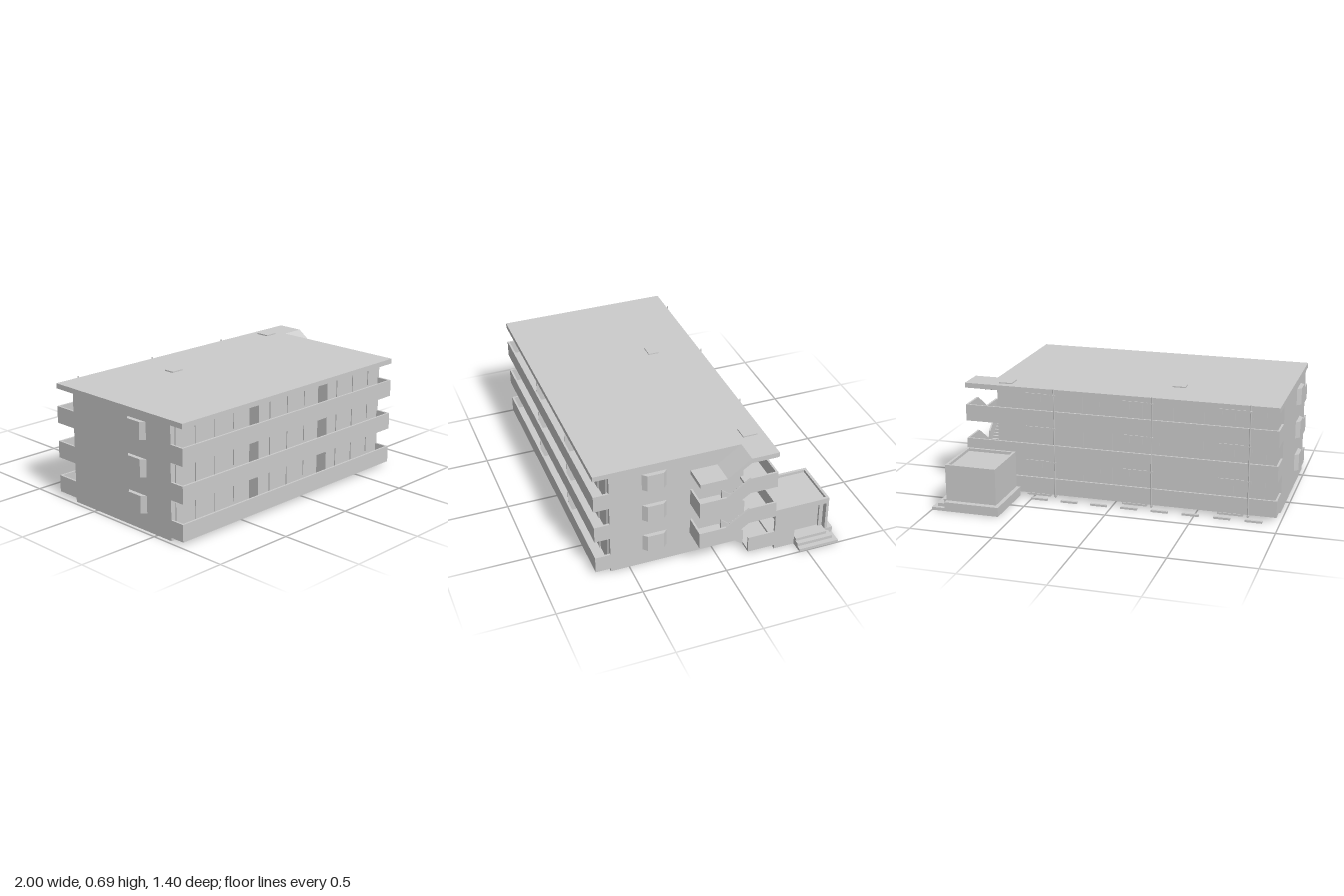
import * as THREE from 'three';

const mat = new THREE.MeshStandardMaterial({ color: 0xcccccc });
const W0 = -0.975, W1 = 0.775, X2 = 0.92;   // main block ends, stair tower side
const F = 0.61, B = -0.185;                 // front and back walls
const FLOORS = [0.025, 0.235, 0.445];
const T = 0.012;                            // parapet thickness

export function createModel() {
  const model = new THREE.Group();

  const add = (name, geo, parent = model) => {
    const m = new THREE.Mesh(geo, mat);
    m.name = name;
    parent.add(m);
    return m;
  };
  // box given by its limits
  const box = (name, x0, x1, y0, y1, z0, z1, parent) =>
    add(name, new THREE.BoxGeometry(x1 - x0, y1 - y0, z1 - z0)
      .translate((x0 + x1) / 2, (y0 + y1) / 2, (z0 + z1) / 2), parent);
  // side profile of [z, y] points extruded from x0 to x1
  const profile = (name, pts, x0, x1, parent) => {
    const shape = new THREE.Shape(pts.map(p => new THREE.Vector2(p[0], p[1])));
    const geo = new THREE.ExtrudeGeometry(shape, { depth: x1 - x0, bevelEnabled: false });
    return add(name, geo.rotateY(-Math.PI / 2).translate(x1, 0, 0), parent);
  };
  const group = name => {
    const g = new THREE.Group();
    g.name = name;
    model.add(g);
    return g;
  };

  // main block and flat roof
  box('mainBlock', W0, W1, 0, 0.65, B, F);
  box('roof', W0, W1, 0.65, 0.68, -0.33, 0.70);
  box('stairRoof', W1, X2, 0.65, 0.68, -0.33, -0.165);
  box('roofHatch', -0.37, -0.29, 0.68, 0.687, -0.08, -0.015);
  box('roofHatch', 0.64, 0.72, 0.68, 0.687, -0.285, -0.2);

  FLOORS.forEach((s, i) => {
    // front balconies
    const bal = group('frontBalcony');
    const b = i ? s : 0.02, t = b + 0.1;
    box('balconyFloor', W0, W1, b, b + 0.015, F, 0.70, bal);
    box('balconyParapet', W0, W1, b, t, 0.70 - T, 0.70, bal);
    for (const x of [W0, W1 - T]) box('balconyEnd', x, x + T, b, t, F, 0.70, bal);
    for (const x of [-0.375, 0.205]) box('balconyDivider', x - 0.003, x + 0.003, b, b + 0.2, F, 0.68, bal);

    // shallow window and door panels on the front wall
    for (let k = 0; k < 12; k++) {
      const x = W0 + 0.073 + k * 0.1458;
      const door = k % 4 === 1 || k % 4 === 2;
      box(door ? 'balconyDoor' : 'frontWindow', x - 0.042, x + 0.042,
        door ? b + 0.015 : b + 0.075, b + 0.19, F, F + 0.006, bal);
    }

    // rear access gallery
    const gal = group('rearGallery');
    const top = s + 0.1;
    box('galleryFloor', W0, X2, s, s + 0.015, -0.33, B, gal);
    box('stairLobbyFloor', W1, X2, s, s + 0.015, B, -0.165, gal);
    box('galleryParapet', W0, i ? X2 : 0.62, s, top, -0.33, -0.33 + T, gal);
    box('galleryEnd', W0, W0 + T, s, top, -0.33, B, gal);
    for (let k = 0; k < 8; k++) {
      const x = -0.85 + k * 0.185;
      box('galleryDoor', x - 0.03, x + 0.03, s + 0.015, s + 0.18, B - 0.006, B, gal);
      box('galleryWindow', x + 0.05, x + 0.12, s + 0.11, s + 0.18, B - 0.004, B, gal);
    }

    // angled bay windows on both end walls
    for (const side of [1, -1]) {
      const w = side > 0 ? W1 : W0, o = w + side * 0.025;
      const pts = [[w, 0.275], [o, 0.30], [o, 0.395], [w, 0.42]];
      const shape = new THREE.Shape(pts.map(([x, z]) => new THREE.Vector2(x, -z)));
      const geo = new THREE.ExtrudeGeometry(shape, { depth: 0.102, bevelEnabled: false });
      add('bayWindow', geo.rotateX(-Math.PI / 2).translate(0, s + 0.078, 0));
    }
  });

  // switchback staircase on the left end
  const flight = (za, ya, zb, yb, x0, x1, parent) => {
    const n = 8, pts = [[za, ya - 0.015]];
    for (let k = 0; k < n; k++) {
      const z = za + (zb - za) * k / n;
      pts.push([z, ya + (yb - ya) * (k + 1) / n], [za + (zb - za) * (k + 1) / n, ya + (yb - ya) * (k + 1) / n]);
    }
    pts.push([zb, yb - 0.015]);
    profile('stairFlight', pts, x0, x1, parent);
  };
  const zl = -0.025, zf = -0.165, mid = 0.842;
  FLOORS.forEach((s, i) => {
    const st = group('staircase');
    const l = i < 2 ? s + 0.115 : 0;
    // outer parapet of the floor lobby
    box('lobbyParapet', X2 - T, X2, s, s + 0.1, -0.33, zf, st);
    if (i === 2) return;
    const up = FLOORS[i + 1];
    flight(zf, s + 0.015, zl, l + 0.015, W1, mid, st);
    flight(zl, l + 0.015, zf, up + 0.015, mid, X2, st);
    box('landingFloor', W1, X2, l, l + 0.015, zl, 0.135, st);
    box('landingFront', W1, X2, l, l + 0.1, 0.135 - T, 0.135, st);
    profile('stairParapet', [[0.135, l], [0.135, l + 0.1], [zl, l + 0.1],
      [zf, up + 0.1], [zf, up], [zl, l]], X2 - T, X2, st);
    profile('stairDivider', [[zf, s], [zf, s + 0.1], [zl, l + 0.1], [zl, l]], mid - 0.005, mid + 0.005, st);
  });
  profile('stairCanopy', [[0.135, 0.555], [0.135, 0.58], [zl, 0.58],
    [zf, 0.68], [zf, 0.65], [zl, 0.555]], W1, X2);

  // rear downpipes with gutter strips under the slabs
  for (const x of [-0.81, -0.235, 0.36]) {
    add('downpipe', new THREE.CylinderGeometry(0.004, 0.004, 0.675, 8).translate(x, 0.3475, -0.338));
    for (const y of [...FLOORS, 0.65]) {
      box('gutterStrip', x + 0.03, x + 0.18, y - 0.012, y, -0.335, -0.31);
      box('pipeBracket', x - 0.007, x + 0.007, y - 0.01, y, -0.343, -0.32);
    }
  }

  // ground slabs along the back
  for (let k = 0; k < 8; k++) {
    const x = -0.9 + k * 0.1855;
    box('pavingSlab', x, x + 0.1, 0, 0.012, -0.38, -0.362);
  }

  // entrance annex: platform, hollow walls, sunken roof
  const an = group('entranceAnnex');
  const a0 = 0.61, z0 = -0.665, z1 = -0.33, h = 0.275;
  box('annexFloor', 0.585, X2, 0, 0.055, -0.70, z1, an);
  box('annexBackWall', a0, X2, 0.055, h, z0, z0 + 0.016, an);
  box('annexSideWall', a0, a0 + 0.016, 0.055, h, z0, z1, an);
  box('annexRoof', a0, X2 - 0.001, 0.24, 0.258, z0, z1, an);
  box('annexInnerWall', a0, 0.70, 0.055, h, z1 - 0.016, z1, an);
  box('annexInnerLintel', 0.70, X2, 0.2, h, z1 - 0.016, z1, an);
  box('annexEntrySide', X2 - 0.016, X2, 0.055, h, -0.455, z1, an);
  box('annexEntryHead', X2 - 0.016, X2, 0.24, h, z0, -0.455, an);

  // door frame set back inside the entrance
  const frame = group('entranceFrame');
  box('frameJamb', 0.86, 0.885, 0.055, 0.24, -0.475, -0.455, frame);
  box('frameJamb', 0.86, 0.885, 0.055, 0.24, -0.65, -0.625, frame);
  box('frameHead', 0.86, 0.885, 0.21, 0.24, -0.625, -0.475, frame);
  box('entranceDoor', 0.865, 0.872, 0.055, 0.21, -0.625, -0.475, frame);

  // entrance steps
  [[0.945, 0.055, -0.65], [0.972, 0.037, -0.675], [1.0, 0.018, -0.70]].forEach(([x, y, z], k) => {
    box('entranceStep', X2, x, 0, y, z, -0.455, an);
  });

  // centre the plan and keep the base on the ground
  const bounds = new THREE.Box3().setFromObject(model);
  const c = bounds.getCenter(new THREE.Vector3());
  model.position.set(-c.x, -bounds.min.y, -c.z);
  return model;
}
